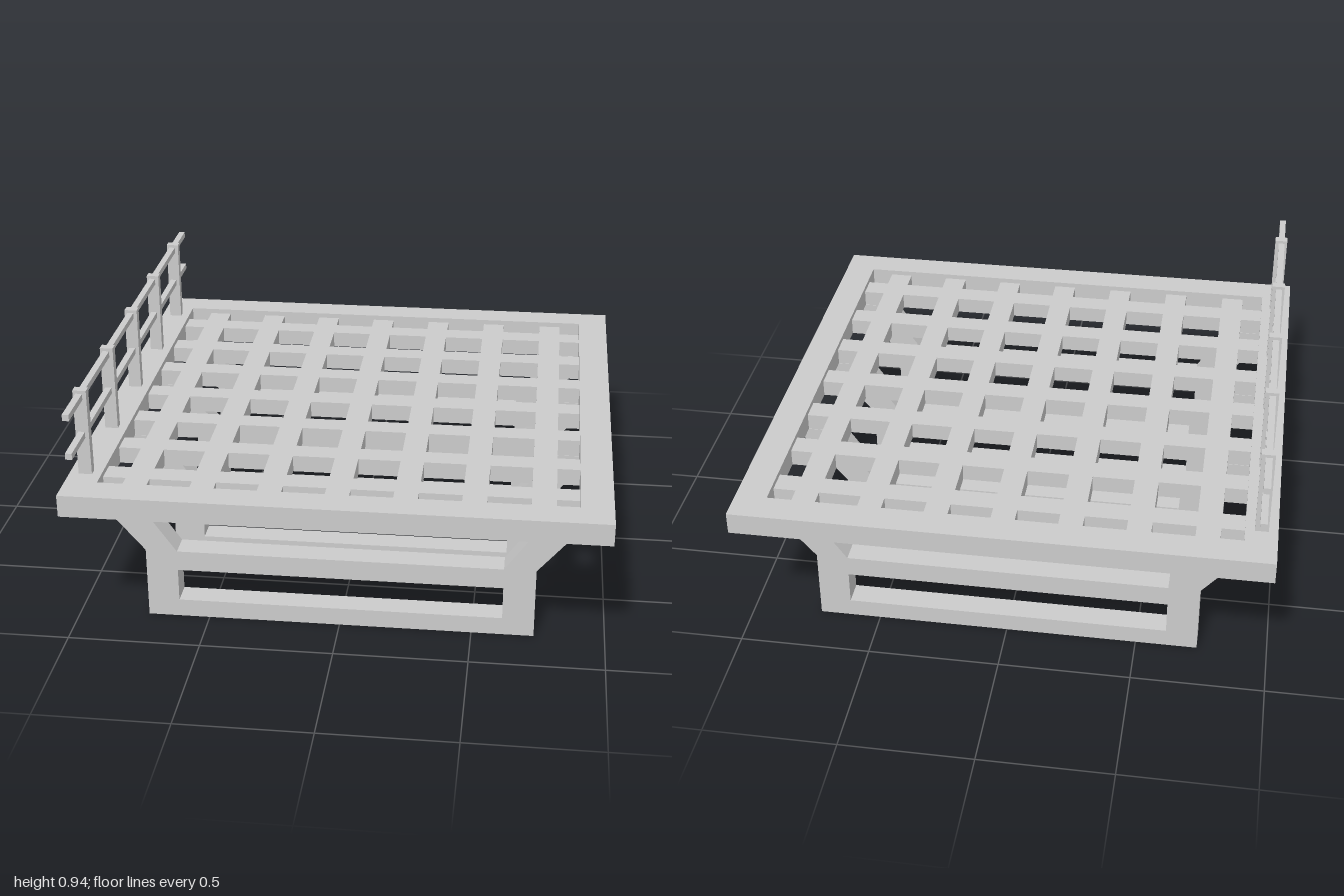
import * as THREE from 'three';

const material = new THREE.MeshStandardMaterial({ color: 0xcccccc, flatShading: true });

function rectHole(x0, y0, x1, y1) {
  return new THREE.Path([[x0, y0], [x0, y1], [x1, y1], [x1, y0]].map(p => new THREE.Vector2(...p)));
}

function polygon(points) {
  return new THREE.Shape(points.map(p => new THREE.Vector2(...p)));
}

function square(h) {
  return polygon([[-h, -h], [h, -h], [h, h], [-h, h]]);
}

function extrude(shape, depth) {
  return new THREE.ExtrudeGeometry(shape, { depth, bevelEnabled: false });
}

function add(parent, name, geometry, x = 0, y = 0, z = 0) {
  const mesh = new THREE.Mesh(geometry, material);
  mesh.name = name;
  mesh.position.set(x, y, z);
  parent.add(mesh);
  return mesh;
}

export function createModel() {
  const model = new THREE.Group();
  model.name = 'gratedPlatform';
  const bottom = 0.515, top = 0.6, inner = 0.88;

  // Deck border
  const border = square(1);
  border.holes.push(rectHole(-inner, -inner, inner, inner));
  add(model, 'deckBorder', extrude(border, top - bottom).rotateX(-Math.PI / 2), 0, bottom);

  // Grating, slightly below the border's top: bars on a 0.25 pitch
  const pitch = 0.25, half = 0.045;
  const openings = [];
  for (let i = -4; i < 4; i++) {
    openings.push([
      Math.max(i * pitch + half, -inner),
      Math.min((i + 1) * pitch - half, inner),
    ]);
  }
  const grating = square(inner + 0.002);
  for (const [x0, x1] of openings) {
    for (const [z0, z1] of openings) grating.holes.push(rectHole(x0, z0, x1, z1));
  }
  add(model, 'grating', extrude(grating, 0.065).rotateX(-Math.PI / 2), 0, bottom);

  // Support frames with splayed arms and a long slot
  const side = [[0.735, 0], [0.735, 0.28], [0.935, bottom], [0.78, bottom], [0.615, 0.28]];
  const mirrored = side.map(([x, y]) => [-x, y]).reverse();
  const profile = polygon([...side, ...mirrored]);
  profile.holes.push(rectHole(-0.615, 0.07, 0.615, 0.2));
  const supportGeometry = extrude(profile, 0.094).translate(0, 0, -0.047);
  for (const z of [-0.75, -0.25, 0.25, 0.75]) add(model, 'supportFrame', supportGeometry, 0, 0, z);

  // Railing along one edge
  const railing = new THREE.Group();
  railing.name = 'railing';
  model.add(railing);
  const postGeometry = new THREE.BoxGeometry(0.05, 0.336, 0.034);
  for (let i = -2; i <= 2; i++) add(railing, 'railingPost', postGeometry, -0.94, top + 0.168, i * 0.4);
  const railGeometry = new THREE.BoxGeometry(0.025, 0.024, 2);
  for (const y of [0.76, 0.912]) add(railing, 'rail', railGeometry, -0.942, y);

  return model;
}
